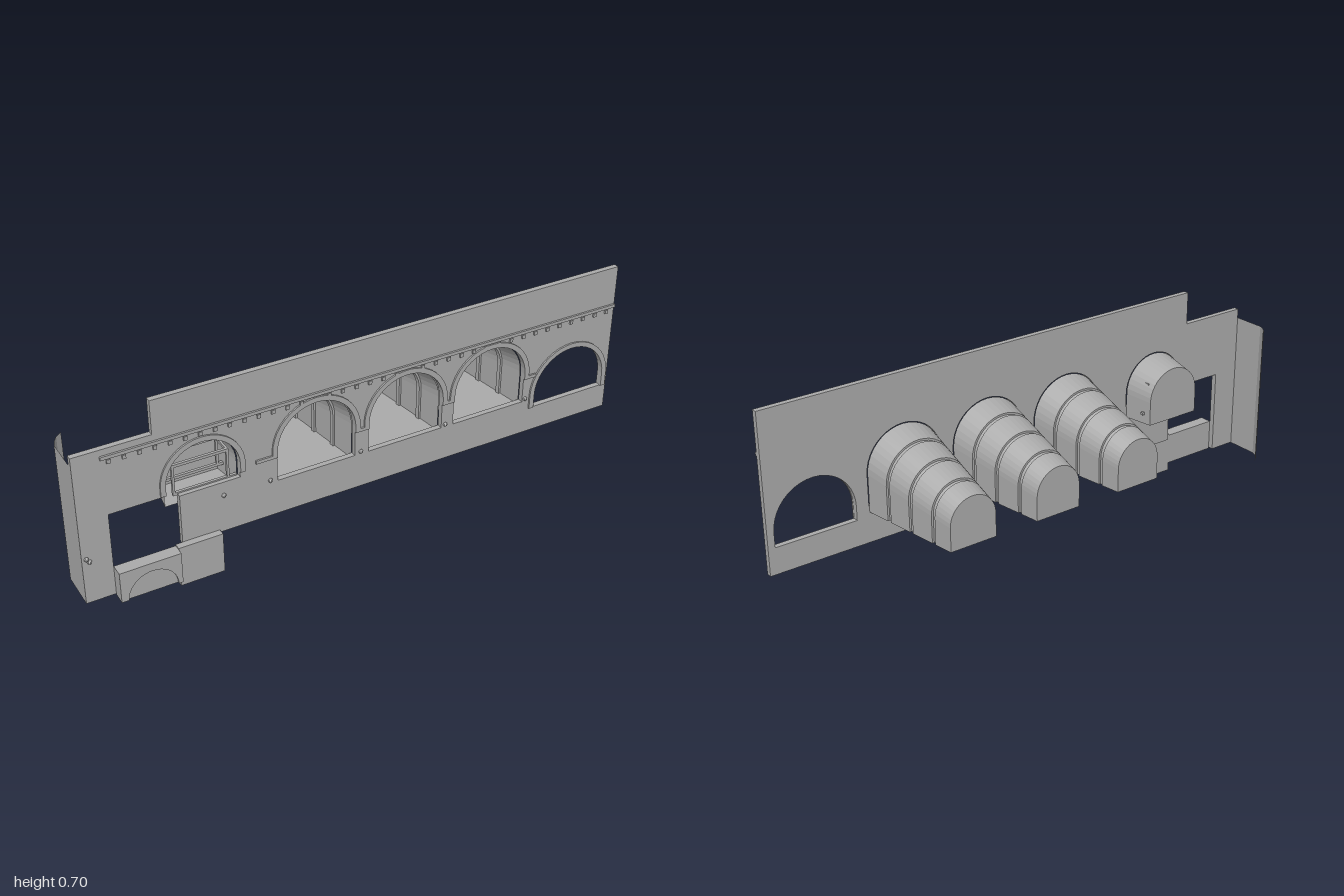
import * as THREE from 'three';

const stone = new THREE.MeshStandardMaterial({ color: 0xaaaaaa, side: THREE.DoubleSide, flatShading: true });
stone.name = 'grey stone';

export function createModel() {
  const model = new THREE.Group();
  model.name = 'arcadeFacade';

  const add = (name, geometry) => {
    const mesh = new THREE.Mesh(geometry, stone);
    mesh.name = name;
    model.add(mesh);
    return mesh;
  };
  // Box given by its limits on each axis
  const box = (name, x0, x1, y0, y1, z0, z1) => {
    const mesh = add(name, new THREE.BoxGeometry(x1 - x0, y1 - y0, z1 - z0));
    mesh.position.set((x0 + x1) / 2, (y0 + y1) / 2, (z0 + z1) / 2);
    return mesh;
  };
  const extrude = (name, shape, z0, z1) => {
    const mesh = add(name, new THREE.ExtrudeGeometry(shape, { depth: z1 - z0, bevelEnabled: false, curveSegments: 20 }));
    mesh.position.z = z0;
    return mesh;
  };
  // Round-headed outline: left foot, over the top, right foot
  const archPoints = (cx, w, spring, floor, n = 20) => {
    const pts = [new THREE.Vector2(cx - w, floor)];
    for (let i = 0; i <= n; i++) {
      const a = Math.PI * (1 - i / n);
      pts.push(new THREE.Vector2(cx + w * Math.cos(a), spring + w * Math.sin(a)));
    }
    pts.push(new THREE.Vector2(cx + w, floor));
    return pts;
  };
  const V = (x, y) => new THREE.Vector2(x, y);

  // Arch centres, half widths, springing and sill heights
  const bays = [-0.18, 0.157, 0.49];
  const bayW = 0.143, baySpring = 0.385, baySill = 0.27;
  const niche = { x: -0.5825, w: 0.1275, spring: 0.3825 };
  const lunette = { x: 0.827, w: 0.148, spring: 0.287, sill: 0.235 };

  // Wall, with the doorway and niche cut into its outline
  const wall = new THREE.Shape([
    V(-1, 0.035), V(-0.9, 0.035), V(-0.9, 0.345),
    ...archPoints(niche.x, niche.w, niche.spring, 0.345).slice(0, -1),
    V(-0.455, 0.33), V(-0.665, 0.33), V(-0.665, 0.14),
    V(1, 0.14), V(1, 0.705), V(-0.74, 0.705), V(-0.74, 0.585), V(-1, 0.585),
  ]);
  bays.forEach(x => wall.holes.push(new THREE.Path(archPoints(x, bayW, baySpring, baySill))));
  wall.holes.push(new THREE.Path(archPoints(lunette.x, lunette.w, lunette.spring, lunette.sill)));
  extrude('wall', wall, 0.16, 0.18);

  // Tapering vault lofted through arch sections [z, half width, top], closed at the back
  const vault = (name, cx, floor, sections) => {
    const pos = [], idx = [];
    let n = 0;
    sections.forEach(([z, w, top]) => {
      const pts = archPoints(cx, w, top - w, floor);
      n = pts.length;
      pts.forEach(p => pos.push(p.x, p.y, z));
    });
    for (let s = 0; s < sections.length - 1; s++) {
      for (let i = 0; i < n; i++) {
        const a = s * n + i, b = s * n + (i + 1) % n;
        idx.push(a, b, a + n, b, b + n, a + n);
      }
    }
    const last = (sections.length - 1) * n;
    for (let i = 1; i < n - 1; i++) idx.push(last, last + i, last + i + 1);
    const g = new THREE.BufferGeometry();
    g.setAttribute('position', new THREE.Float32BufferAttribute(pos, 3));
    g.setIndex(idx);
    g.computeVertexNormals();
    add(name, g);
  };

  // Three deep vaults with narrow sunk grooves between their segments
  const taper = (z, inset) => {
    const t = (0.16 - z) / 0.385;
    return [z, 0.141 - 0.055 * t - inset, 0.526 - 0.106 * t - inset];
  };
  const vaultSections = [taper(0.16, 0)];
  [[0.07, 0.055], [-0.035, -0.05], [-0.14, -0.155]].forEach(([a, b]) =>
    vaultSections.push(taper(a, 0), taper(a, 0.007), taper(b, 0.007), taper(b, 0)));
  vaultSections.push(taper(-0.225, 0));
  bays.forEach(x => vault('vault', x, 0.25, vaultSections));

  // Shallow niche vault and the window frame inside it
  vault('nicheVault', niche.x, 0.29, [[0.16, 0.125, 0.508], [0.05, 0.108, 0.485]]);
  [0.155, 0.075].forEach(z => {
    box('frameHead', -0.68, -0.485, 0.43, 0.44, z, z + 0.01);
    box('frameSill', -0.68, -0.46, 0.325, 0.335, z, z + 0.01);
    [-0.68, -0.493].forEach(x => box('framePost', x, x + 0.008, 0.33, 0.44, z, z + 0.01));
  });
  [-0.68, -0.493].forEach(x => box('frameRail', x, x + 0.008, 0.43, 0.44, 0.075, 0.165));

  // Raised mouldings around the arches
  const moulding = (cx, w, spring, floor) => {
    const inner = archPoints(cx, w, spring, floor).reverse();
    extrude('archMoulding', new THREE.Shape([...archPoints(cx, w + 0.018, spring, floor), ...inner]), 0.18, 0.186);
  };
  bays.forEach(x => moulding(x, bayW, baySpring, baySpring - 0.02));
  moulding(niche.x, niche.w, niche.spring, 0.35);
  moulding(lunette.x, lunette.w - 0.001, lunette.spring, lunette.sill);

  // Impost bands on the piers
  [[-0.4, -0.323], [-0.037, 0.014], [0.3, 0.347], [0.633, 0.68]].forEach(([a, b]) =>
    box('impost', a, b, 0.362, 0.374, 0.18, 0.186));

  // Cornice with a row of dentils
  box('cornice', -0.91, 1, 0.55, 0.562, 0.18, 0.187);
  for (let i = 0; i < 38; i++) {
    const x = -0.89 + i * 0.05;
    box('dentil', x, x + 0.012, 0.532, 0.546, 0.18, 0.186);
  }

  // Small wall brackets
  [[-0.515, 0.28], [-0.35, 0.28], [-0.015, 0.28], [0.315, 0.28], [0.645, 0.28], [-0.985, 0.205], [-0.975, 0.192]]
    .forEach(([x, y]) => {
      const m = add('bracket', new THREE.SphereGeometry(0.008, 8, 6));
      m.position.set(x, y, 0.181);
    });

  // Side return, bending inward towards the back
  const plan = [[-1, 0.16], [-1, 0.04], [-0.992, 0.02], [-0.978, 0], [-0.957, -0.015]];
  const side = new THREE.PlaneGeometry(1, 0.517, plan.length - 1, 1);
  const p = side.attributes.position;
  for (let i = 0; i < p.count; i++) {
    const [x, z] = plan[i % plan.length];
    p.setXYZ(i, x, p.getY(i) + 0.2925, z);
  }
  side.computeVertexNormals();
  add('sideReturn', side);

  // Base blocks below the doorway, one with a blind arch
  box('plainBlock', -0.69, -0.535, 0, 0.15, 0.18, 0.205);
  const arched = new THREE.Shape([
    V(-0.9, 0.03), ...archPoints(-0.79, 0.085, 0.03, 0.03).slice(1, -1),
    V(-0.69, 0.03), V(-0.69, 0.145), V(-0.9, 0.145),
  ]);
  extrude('archedBlock', arched, 0.18, 0.225);
  extrude('blindArch', new THREE.Shape(archPoints(-0.79, 0.085, 0.03, 0.03).slice(1, -1)), 0.18, 0.218);

  return model;
}
